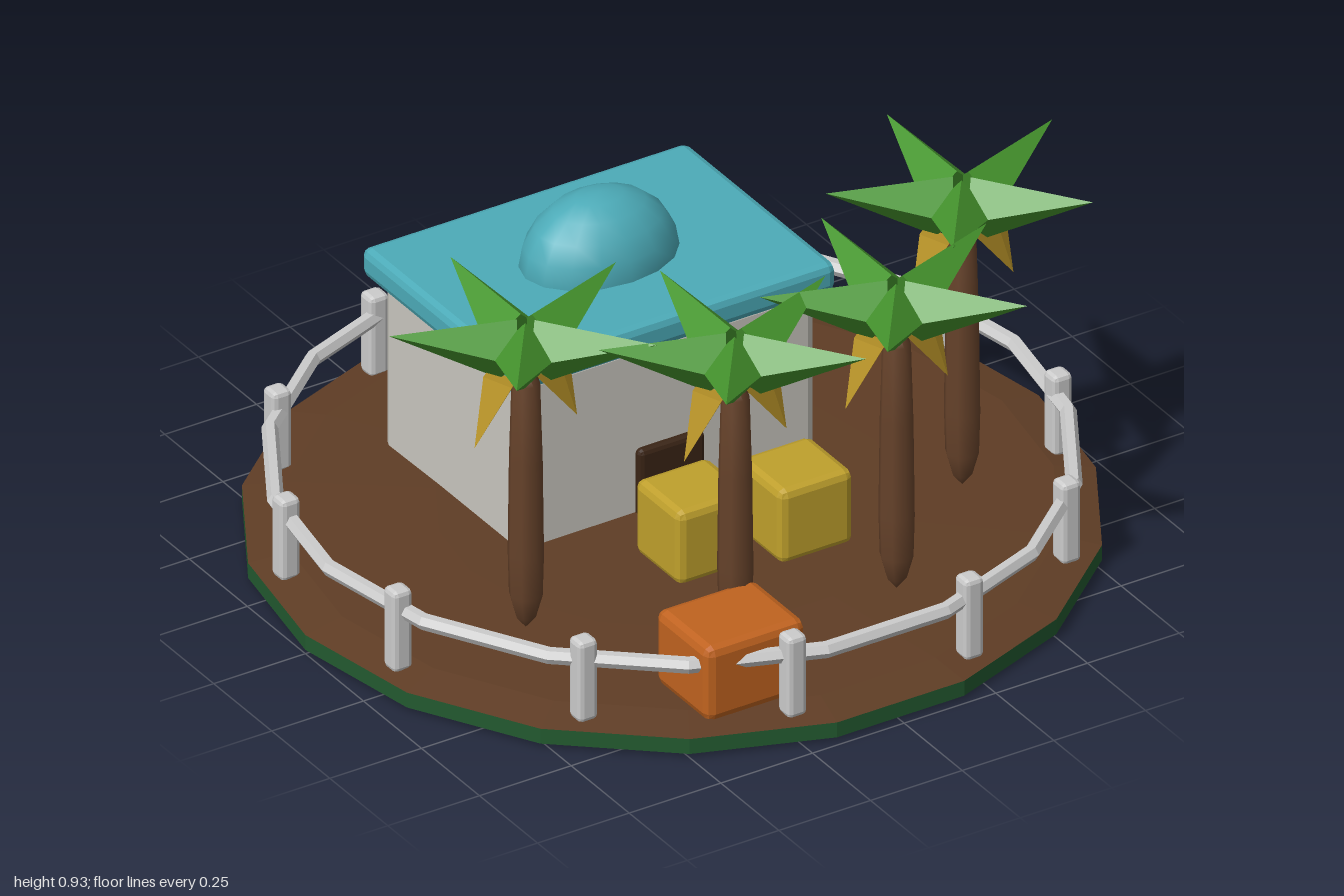
import * as THREE from 'three';
import { RoundedBoxGeometry } from 'three/addons/geometries/RoundedBoxGeometry.js';

const mat = (color, flatShading = true) => new THREE.MeshStandardMaterial({ color, flatShading });
const M = {
  soil: mat(0x5f3d25), grass: mat(0x22592f), stone: mat(0xcccccc), wall: mat(0xc9c7bf),
  roof: mat(0x4cabb8), dome: mat(0x4cabb8, false), door: mat(0x3a2415), yellow: mat(0xbfa02c),
  orange: mat(0xc0631f), trunk: mat(0x66422a, false), leaf: mat(0x46962e), dryLeaf: mat(0xc8a02c),
};

function add(parent, name, geometry, material, x = 0, y = 0, z = 0) {
  const mesh = new THREE.Mesh(geometry, material);
  mesh.name = name;
  mesh.position.set(x, y, z);
  parent.add(mesh);
  return mesh;
}

// Box with chamfered edges, given by its limits on each axis
function block(parent, name, material, [x0, x1], [y0, y1], [z0, z1], bevel) {
  const geometry = new RoundedBoxGeometry(x1 - x0, y1 - y0, z1 - z0, 1, bevel);
  return add(parent, name, geometry, material, (x0 + x1) / 2, (y0 + y1) / 2, (z0 + z1) / 2);
}

function lathe(points, sides) {
  return new THREE.LatheGeometry(points.map(([r, y]) => new THREE.Vector2(r, y)), sides);
}

// Four-sided cone from a base centre to a tip, one ridge on top
function spike(parent, name, material, base, tip, radius) {
  const axis = new THREE.Vector3().subVectors(tip, base);
  const geometry = new THREE.ConeGeometry(radius, axis.length(), 4);
  const yaw = Math.atan2(axis.x, axis.z);
  const pitch = Math.atan2(Math.hypot(axis.x, axis.z), axis.y);
  geometry.rotateX(pitch).rotateY(yaw);
  const mid = base.clone().add(tip).multiplyScalar(0.5);
  return add(parent, name, geometry, material, mid.x, mid.y, mid.z);
}

function palmTree(x, z) {
  const tree = new THREE.Group();
  tree.name = 'palmTree';
  tree.position.set(x, 0, z);
  add(tree, 'trunk', lathe([[0, 0.1], [0.024, 0.13], [0.04, 0.19], [0.043, 0.3],
    [0.04, 0.55], [0.034, 0.76], [0, 0.8]], 8), M.trunk);
  // Star of five rising fronds
  for (let i = 0; i < 5; i++) {
    const a = Math.PI + i * Math.PI * 2 / 5;
    const at = (r, y) => new THREE.Vector3(Math.sin(a) * r, y, Math.cos(a) * r);
    spike(tree, 'frond', M.leaf, at(0.042, 0.854), at(0.325, 0.93), 0.079);
  }
  // Dry leaves hanging on either side
  for (const s of [-1, 1]) {
    spike(tree, 'dryLeaf', M.dryLeaf, new THREE.Vector3(s * 0.07, 0.79, 0),
      new THREE.Vector3(s * 0.14, 0.625, 0), 0.05);
  }
  return tree;
}

export function createModel() {
  const model = new THREE.Group();
  model.name = 'courtyard';

  // Round ground: grass rim below, slightly domed soil above
  add(model, 'grassBase', lathe([[0, 0], [0.2, 0.002], [1, 0.01], [1, 0.05]], 18), M.grass).rotation.y = Math.PI / 2;
  add(model, 'soil', lathe([[1, 0.05], [0.9, 0.068], [0.55, 0.078], [0, 0.08]], 18), M.soil).rotation.y = Math.PI / 2;

  // House
  const house = new THREE.Group();
  house.name = 'house';
  model.add(house);
  block(house, 'walls', M.wall, [-0.405, 0.405], [0.03, 0.53], [-0.605, -0.015], 0.025);
  block(house, 'roof', M.roof, [-0.445, 0.445], [0.515, 0.59], [-0.64, 0.01], 0.02);
  block(house, 'door', M.door, [-0.09, 0.09], [0.06, 0.25], [-0.04, 0.005], 0.012);
  const dome = add(house, 'dome', new THREE.SphereGeometry(1, 16, 10), M.dome, 0, 0.59, -0.315);
  dome.scale.set(0.2, 0.17, 0.145);

  // Crates
  block(model, 'yellowCrate', M.yellow, [-0.18, 0.02], [0.07, 0.268], [0.12, 0.315], 0.02);
  block(model, 'yellowCrate', M.yellow, [0.07, 0.27], [0.07, 0.268], [0.165, 0.36], 0.02);
  block(model, 'orangeCrate', M.orange, [-0.45, -0.18], [0.07, 0.268], [0.635, 0.865], 0.022);

  // Palms, mirrored in pairs
  for (const s of [-1, 1]) {
    model.add(palmTree(s * 0.595, 0.31));
    model.add(palmTree(s * 0.22, 0.62));
  }

  // Fence: twelve posts and a ring rail
  const fence = new THREE.Group();
  fence.name = 'fence';
  model.add(fence);
  const post = new RoundedBoxGeometry(0.052, 0.215, 0.052, 1, 0.012);
  for (let i = 0; i < 12; i++) {
    const a = (i + 0.5) * Math.PI / 6;
    add(fence, 'post', post, M.stone, Math.cos(a) * 0.932, 0.1625, Math.sin(a) * 0.932);
  }
  add(fence, 'rail', new THREE.TorusGeometry(0.935, 0.02, 6, 18), M.stone, 0, 0.21, 0).rotation.x = Math.PI / 2;

  return model;
}
